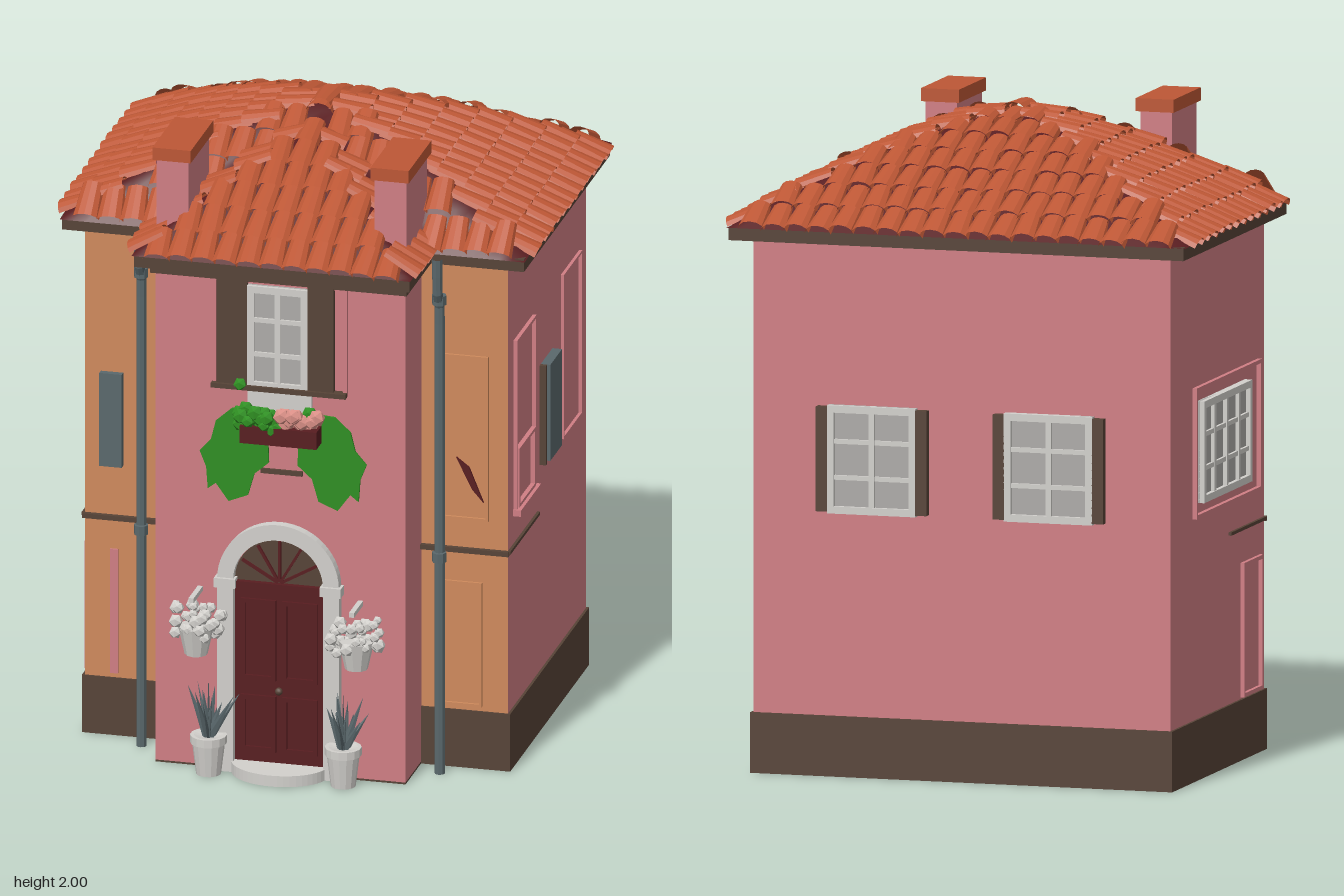
import * as THREE from 'three';
import { mergeGeometries } from 'three/addons/utils/BufferGeometryUtils.js';

const mat = (name, color, extra = {}) => Object.assign(new THREE.MeshStandardMaterial({ color, ...extra }), { name });

export function createModel() {
  const root = new THREE.Group();
  root.name = 'house';
  const M = {
    pink: mat('pinkPlaster', 0xd07e84),
    orange: mat('orangePlaster', 0xcf8a5c),
    tile: mat('terracotta', 0xbd5735, { side: THREE.DoubleSide, flatShading: true }),
    maroon: mat('darkRed', 0x581d20),
    brown: mat('darkBrown', 0x574337),
    slate: mat('slate', 0x5a686c, { flatShading: true }),
    white: mat('offWhite', 0xd2d0cc, { flatShading: true }),
    glass: mat('paleGlass', 0xadaba8),
    green: mat('leafGreen', 0x2f8f22, { flatShading: true }),
    rose: mat('rosePetals', 0xd98f86, { flatShading: true }),
  };
  let seed = 7;
  const rnd = () => (seed = (seed * 16807) % 2147483647) / 2147483647;

  const add = (name, geo, material, parent = root) => {
    const mesh = new THREE.Mesh(geo, material);
    mesh.name = name;
    parent.add(mesh);
    return mesh;
  };
  // box given by its limits
  const box = (name, x0, x1, y0, y1, z0, z1, material, parent = root) =>
    add(name, new THREE.BoxGeometry(x1 - x0, y1 - y0, z1 - z0)
      .translate((x0 + x1) / 2, (y0 + y1) / 2, (z0 + z1) / 2), material, parent);
  const extrude = (shape, depth) => new THREE.ExtrudeGeometry(shape, { depth, bevelEnabled: false, curveSegments: 14 });
  const polygon = pts => new THREE.Shape(pts.map(p => new THREE.Vector2(...p)));
  // group standing on a wall, its local z pointing outward
  const onWall = (name, x, y, z, turn) => {
    const g = new THREE.Group();
    g.name = name;
    g.position.set(x, y, z);
    g.rotation.y = turn;
    root.add(g);
    return g;
  };
  // thin rectangular outline
  const outline = (name, parent, x0, x1, y0, y1, t, d, material) => {
    const s = polygon([[x0, y0], [x1, y0], [x1, y1], [x0, y1]]);
    s.holes.push(polygon([[x0 + t, y0 + t], [x0 + t, y1 - t], [x1 - t, y1 - t], [x1 - t, y0 + t]]));
    return add(name, extrude(s, d), material, parent);
  };
  // window centred on its group, with glazing bars
  const windowIn = (g, w, h, cols, rows, d = 0.025) => {
    box('panes', -w / 2, w / 2, -h / 2, h / 2, 0, d * 0.45, M.glass, g);
    outline('windowFrame', g, -w / 2, w / 2, -h / 2, h / 2, 0.022, d, M.white);
    for (let i = 1; i < cols; i++) {
      const x = -w / 2 + (w * i) / cols;
      box('uprightBar', x - 0.009, x + 0.009, -h / 2, h / 2, 0, d * 0.9, M.white, g);
    }
    for (let i = 1; i < rows; i++) {
      const y = -h / 2 + (h * i) / rows;
      box('crossBar', -w / 2, w / 2, y - 0.007, y + 0.007, 0, d * 0.8, M.white, g);
    }
  };

  // walls and plinth
  box('plinth', -0.668, 0.668, 0, 0.185, -0.608, 0.335, M.brown);
  box('mainWalls', -0.66, 0.66, 0.18, 1.65, -0.6, 0.33, [M.pink, M.pink, M.pink, M.pink, M.orange, M.pink]);
  box('frontBay', -0.39, 0.39, 0.006, 1.65, 0.3, 0.52, M.pink);
  box('bayFloor', -0.39, 0.39, 0, 0.006, 0.3, 0.52, M.brown);

  // eaves
  const eave = polygon([[-0.72, 0.66], [-0.72, -0.37], [-0.43, -0.37], [-0.43, -0.625],
    [0.43, -0.625], [0.43, -0.37], [0.72, -0.37], [0.72, 0.66]]);
  add('eaves', extrude(eave, 0.04).rotateX(-Math.PI / 2).translate(0, 1.63, 0), M.brown);
  box('bayCornice', -0.4, 0.4, 1.585, 1.64, 0.3, 0.545, M.brown);

  // roof slopes: uphill direction, run from the eave and steepness
  const slopes = [
    { u: [-1, 0], eave: 0.73, k: 1 }, { u: [1, 0], eave: 0.73, k: 1 },
    { u: [0, 1], eave: 0.67, k: 0.73 / 0.65 }, { u: [0, -1], eave: 0.38, k: 0.73 / 0.4 },
    { u: [0, -1], eave: 0.64, k: 1.15 }, { u: [-1, 0], eave: 0.44, k: 1.3 }, { u: [1, 0], eave: 0.44, k: 1.3 },
  ];
  const roofAt = (x, z) => {
    const d = slopes.map(s => (s.eave + s.u[0] * x + s.u[1] * z) * s.k);
    const main = Math.min(...d.slice(0, 4));
    const bay = z < -0.02 ? -1 : Math.min(...d.slice(4));
    const best = Math.max(main, bay);
    return { d: best, face: d.indexOf(best) };
  };
  const RISE = 0.31, SPAN = 0.73;
  const height = d => 1.665 + RISE * (1 - Math.pow(1 - THREE.MathUtils.clamp(d / SPAN, 0, 1), 1.4));
  const roofDeck = (w, z0, z1) => {
    const g = new THREE.PlaneGeometry(w, z1 - z0, 36, 30).rotateX(-Math.PI / 2).translate(0, 0, (z0 + z1) / 2);
    const p = g.attributes.position;
    for (let i = 0; i < p.count; i++) p.setY(i, height(roofAt(p.getX(i), p.getZ(i)).d));
    g.computeVertexNormals();
    return g;
  };
  add('roofDeck', mergeGeometries([roofDeck(1.45, -0.665, 0.38), roofDeck(0.87, 0.38, 0.635)]), M.maroon);

  // barrel tiles laid in courses up every slope
  const barrel = new THREE.CylinderGeometry(0.033, 0.042, 0.12, 6, 1, true, Math.PI / 2, Math.PI)
    .rotateX(Math.PI / 2).scale(1, 0.7, 1).rotateX(0.1);
  const tiles = [];
  const X = new THREE.Vector3(), Y = new THREE.Vector3(), Z = new THREE.Vector3(), up = new THREE.Vector3(0, 1, 0);
  slopes.forEach(({ u, eave: e, k }, face) => {
    for (let i = -10; i <= 10; i++) for (let r = 0.045; r < 0.75; r += 0.086) {
      const s = i * 0.0715;
      const x = u[0] ? -u[0] * (e - r) : s, z = u[1] ? -u[1] * (e - r) : s;
      const at = roofAt(x, z);
      if (at.face !== face || at.d <= 0) continue;
      const pitch = (k * RISE * 1.4 * Math.pow(Math.max(0.02, 1 - at.d / SPAN), 0.4)) / SPAN;
      Z.set(u[0], pitch, u[1]).normalize();
      X.crossVectors(up, Z).normalize();
      Y.crossVectors(Z, X);
      const m = new THREE.Matrix4().makeBasis(X, Y, Z).setPosition(x, height(at.d) + (rnd() - 0.5) * 0.007, z);
      tiles.push(barrel.clone().rotateY((rnd() - 0.5) * 0.1).applyMatrix4(m));
    }
  });
  add('roofTiles', mergeGeometries(tiles), M.tile);

  // paired parts on both sides of the bay
  for (const s of [-1, 1]) {
    const cx = s * 0.34;
    box('chimney', cx - 0.05, cx + 0.05, 1.66, 1.945, 0.265, 0.51, M.pink);
    box('chimneyCap', cx - 0.06, cx + 0.06, 1.94, 1.98, 0.25, 0.52, M.tile);

    const pipe = new THREE.CatmullRomCurve3([[0, 0.4], [0.7, 0.4], [1.5, 0.4], [1.56, 0.425], [1.67, 0.43]]
      .map(([y, z]) => new THREE.Vector3(s * 0.465, y, z)), false, 'catmullrom', 0.1);
    add('drainpipe', new THREE.TubeGeometry(pipe, 30, 0.016, 8), M.slate);
    for (const y of [0.7, 1.53]) add('pipeCollar', new THREE.CylinderGeometry(0.022, 0.022, 0.03, 8).translate(s * 0.465, y, 0.405), M.slate);
    box('stringCourse', s * 0.525 - 0.14, s * 0.525 + 0.14, 0.695, 0.71, 0.33, 0.345, M.brown);
    box('sideStringCourse', s * 0.663 - 0.006, s * 0.663 + 0.006, 0.7, 0.71, -0.02, 0.335, M.brown);

    // potted plant
    const pot = [[0, 0], [0.038, 0], [0.05, 0.1], [0.056, 0.1], [0.056, 0.125], [0.045, 0.125], [0, 0.115]];
    add('pot', new THREE.LatheGeometry(pot.map(p => new THREE.Vector2(...p)), 14).translate(s * 0.21, 0, 0.575), M.white);
    for (let i = 0; i < 15; i++) {
      const len = 0.13 + rnd() * 0.07;
      add('leafBlade', new THREE.ConeGeometry(0.017, len, 4).scale(1, 1, 0.4).translate(0, len / 2, 0)
        .rotateZ(-0.12 - (i % 3) * 0.24).rotateY(i * 2.4).translate(s * 0.21, 0.115, 0.575), M.slate);
    }
    // hanging flower basket
    add('basket', new THREE.CylinderGeometry(0.055, 0.035, 0.09, 10).translate(s * 0.25, 0.425, 0.57), M.white);
    box('basketBracket', s * 0.25 - 0.008, s * 0.25 + 0.008, 0.565, 0.58, 0.52, 0.63, M.white);
    for (let i = 0; i < 34; i++) {
      const a = i * 2.4, r = 0.085 * Math.sqrt(rnd());
      add('whiteBlossom', new THREE.IcosahedronGeometry(0.014 + rnd() * 0.009, 0)
        .translate(s * 0.25 + r * Math.cos(a), 0.45 + rnd() * 0.1 - r * 0.2, 0.575 + r * 0.6 * Math.sin(a)), M.white);
    }
  }

  // doorway: step, stone arch, door leaf and fanlight
  add('doorStep', new THREE.CylinderGeometry(0.15, 0.15, 0.035, 24, 1, false, -Math.PI / 2, Math.PI)
    .scale(1, 1, 0.8).translate(0, 0.0175, 0.52), M.white);
  const arch = new THREE.Shape();
  arch.moveTo(-0.19, 0).lineTo(-0.19, 0.62).absarc(0, 0.62, 0.19, Math.PI, 0, true).lineTo(0.19, 0)
    .lineTo(0.14, 0).lineTo(0.14, 0.62).absarc(0, 0.62, 0.14, 0, Math.PI, false).lineTo(-0.14, 0);
  add('doorArch', extrude(arch, 0.035).translate(0, 0, 0.515), M.white);
  for (const s of [-1, 1]) box('impost', s * 0.165 - 0.033, s * 0.165 + 0.033, 0.595, 0.625, 0.515, 0.56, M.white);
  box('door', -0.14, 0.14, 0.035, 0.6, 0.515, 0.53, M.maroon);
  const doorFace = onWall('doorPanels', 0, 0, 0.53, 0);
  for (const x of [-0.12, 0.01]) for (const [y0, y1] of [[0.07, 0.25], [0.3, 0.56]])
    outline('doorPanel', doorFace, x, x + 0.11, y0, y1, 0.014, 0.009, M.maroon);
  add('doorKnob', new THREE.SphereGeometry(0.012, 10, 8).translate(0, 0.27, 0.54), M.brown);
  box('transom', -0.14, 0.14, 0.592, 0.615, 0.515, 0.543, M.maroon);
  add('fanlight', new THREE.CircleGeometry(0.141, 20, 0, Math.PI).translate(0, 0.615, 0.526), M.brown);
  for (let i = 1; i < 6; i++)
    add('fanlightBar', new THREE.BoxGeometry(0.13, 0.008, 0.01).translate(0.07, 0, 0)
      .rotateZ((i * Math.PI) / 6).translate(0, 0.615, 0.53), M.maroon);

  // balcony window with shutters
  const front = onWall('frontWindow', -0.005, 1.405, 0.52, 0);
  windowIn(front, 0.19, 0.33, 2, 3, 0.02);
  box('leftShutter', 0.095, 0.175, -0.165, 0.18, 0, 0.02, M.brown, front);
  box('rightShutter', -0.19, -0.095, -0.165, 0.18, 0, 0.02, M.brown, front);
  outline('windowSurround', front, -0.205, 0.215, -0.17, 0.185, 0.012, 0.012, M.pink);
  box('sill', -0.21, 0.21, 1.235, 1.25, 0.52, 0.55, M.brown);
  box('lowerPane', -0.1, 0.1, 1.14, 1.235, 0.515, 0.53, M.white);

  // flower box and trailing vines
  box('flowerBox', -0.11, 0.13, 1.08, 1.135, 0.52, 0.59, M.maroon);
  for (let i = 0; i < 40; i++) {
    const x = -0.12 + (i / 39) * 0.245;
    add('boxFlower', new THREE.IcosahedronGeometry(0.019 + rnd() * 0.01, 0)
      .translate(x, 1.125 + rnd() * 0.055, 0.545 + rnd() * 0.05), x > 0.015 && i % 5 ? M.rose : M.green);
  }
  add('greenSprig', new THREE.IcosahedronGeometry(0.022, 0).translate(-0.12, 1.25, 0.54), M.green);
  const vine = [[0.06, 1.14], [0.1, 1.17], [0.17, 1.165], [0.22, 1.12], [0.235, 1.06], [0.27, 1.02], [0.25, 0.97],
    [0.245, 0.9], [0.22, 0.92], [0.18, 0.865], [0.12, 0.89], [0.1, 0.96], [0.055, 1.0]];
  add('leftVine', extrude(polygon(vine), 0.008).translate(0, 0, 0.52), M.green);
  add('rightVine', extrude(polygon(vine.map(([x, y]) => [0.02 - x, y]).reverse()), 0.008).translate(0, 0, 0.52), M.green);
  box('vineStem', -0.06, 0.07, 0.965, 0.98, 0.52, 0.528, M.brown);

  // details on the orange walls
  box('slateShutter', -0.61, -0.54, 0.87, 1.17, 0.33, 0.35, M.slate);
  box('plasterStrip', -0.58, -0.555, 0.2, 0.6, 0.33, 0.337, M.pink);
  add('redPatch', extrude(polygon([[0.5, 1.0], [0.54, 0.97], [0.585, 0.86], [0.55, 0.9]].reverse()), 0.008).translate(0, 0, 0.33), M.maroon);
  const recess = onWall('orangeWallOutlines', 0, 0, 0.33, 0);
  outline('blindWindow', recess, 0.44, 0.6, 0.8, 1.33, 0.008, 0.008, M.orange);
  outline('blindPanel', recess, 0.44, 0.58, 0.2, 0.6, 0.008, 0.008, M.orange);

  // left side wall: blind windows and slate shutter
  const left = onWall('leftSide', 0.66, 0, 0, Math.PI / 2);
  outline('blindWindow', left, -0.265, -0.035, 0.81, 1.365, 0.01, 0.012, M.pink);
  outline('lowerBlindPanel', left, -0.245, -0.05, 0.82, 1.01, 0.01, 0.014, M.pink);
  box('blindSill', -0.27, -0.03, 0.8, 0.82, 0, 0.025, M.pink, left);
  outline('rearBlindWindow', left, 0.3, 0.52, 0.84, 1.37, 0.008, 0.01, M.pink);
  box('slateShutter', 0.06, 0.2, 0.86, 1.17, 0, 0.03, M.slate, left);
  box('shutterReveal', 0.045, 0.06, 0.85, 1.17, 0, 0.02, M.brown, left);

  // right side wall: wide window and blind door
  const right = onWall('rightSide', -0.66, 0, 0, -Math.PI / 2);
  outline('windowSurround', right, -0.38, 0.27, 0.8, 1.2, 0.012, 0.014, M.pink);
  outline('blindDoor', right, 0.1, 0.29, 0.19, 0.6, 0.012, 0.012, M.pink);
  windowIn(onWall('rightWindow', -0.66, 1.0, -0.1, -Math.PI / 2), 0.48, 0.31, 4, 3);

  // back windows between narrow shutters
  for (const x of [-0.28, 0.28]) {
    const g = onWall('backWindow', x, 0.97, -0.6, Math.PI);
    windowIn(g, 0.28, 0.33, 2, 3);
    for (const s of [-1, 1]) box('shutter', s * 0.157 - 0.018, s * 0.157 + 0.018, -0.16, 0.16, 0, 0.025, M.brown, g);
  }
  return root;
}
